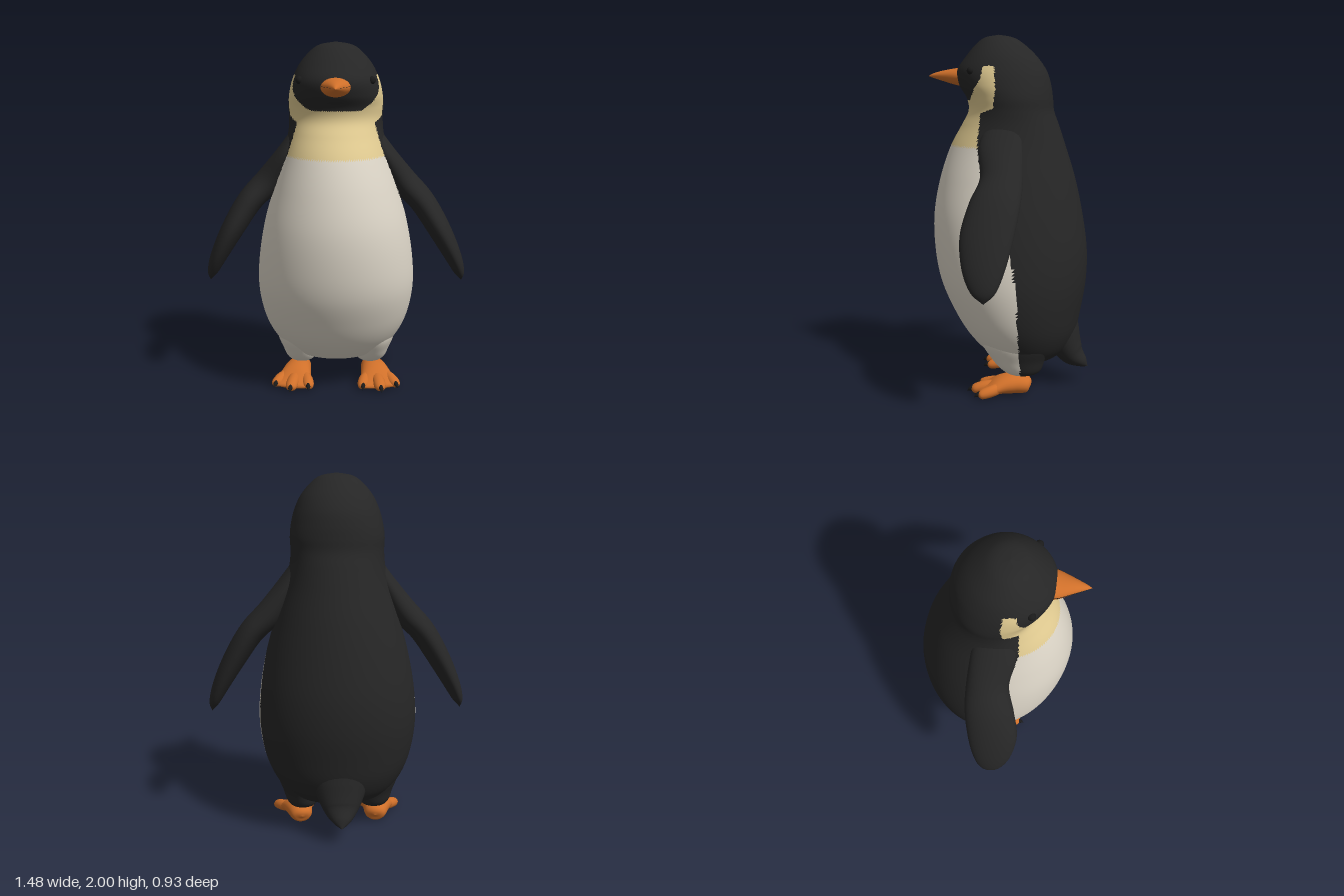
import * as THREE from 'three';

const mat = (name, color) => {
  const m = new THREE.MeshStandardMaterial({ color });
  m.name = name;
  return m;
};
const V = (x, y, z) => new THREE.Vector3(x, y, z);
const X = V(1, 0, 0), Z = V(0, 0, 1);

// Linear lookup in a short table of [key, value]
function lookup(table, k) {
  if (k <= table[0][0]) return table[0][1];
  for (let i = 1; i < table.length; i++) {
    const [k0, v0] = table[i - 1], [k1, v1] = table[i];
    if (k <= k1) return v0 + (v1 - v0) * (k - k0) / (k1 - k0);
  }
  return table[table.length - 1][1];
}

// Smooth loft through elliptical sections [cx, cy, cz, radiusU, radiusV].
// pick(x, y, z) chooses the material index of each face.
function loft(name, rows, u, fixedV, mats, { sides = 28, steps = 36, pick = () => 0 } = {}) {
  const spline = pts => new THREE.CatmullRomCurve3(pts, false, 'catmullrom', 0.5);
  const path = spline(rows.map(r => V(r[0], r[1], r[2])));
  const size = spline(rows.map(r => V(r[3], r[4], 0)));
  const pos = [], faces = mats.map(() => []);
  for (let i = 0; i <= steps; i++) {
    const t = i / steps, c = path.getPoint(t), s = size.getPoint(t);
    const v = fixedV || path.getTangent(t).cross(u).normalize();
    for (let j = 0; j < sides; j++) {
      const a = j / sides * Math.PI * 2;
      const p = c.clone()
        .addScaledVector(u, Math.max(s.x, 0) * Math.cos(a))
        .addScaledVector(v, Math.max(s.y, 0) * Math.sin(a));
      pos.push(p.x, p.y, p.z);
    }
  }
  const mid = (f, k) => (pos[f[0] * 3 + k] + pos[f[1] * 3 + k] + pos[f[2] * 3 + k]) / 3;
  for (let i = 0; i < steps; i++) for (let j = 0; j < sides; j++) {
    const k = (j + 1) % sides;
    const a = i * sides + j, b = i * sides + k, c = b + sides, d = a + sides;
    for (const f of [[a, b, c], [a, c, d]]) faces[pick(mid(f, 0), mid(f, 1), mid(f, 2))].push(...f);
  }
  const g = new THREE.BufferGeometry();
  g.setAttribute('position', new THREE.Float32BufferAttribute(pos, 3));
  g.setIndex(faces.flat());
  let start = 0;
  faces.forEach((f, i) => { g.addGroup(start, f.length, i); start += f.length; });
  g.computeVertexNormals();
  const mesh = new THREE.Mesh(g, mats.length > 1 ? mats : mats[0]);
  mesh.name = name;
  return mesh;
}

// Plumage borders: z of the back edge and of the face mask, by height
const backEdge = [[0.1, -0.1], [0.6, -0.1], [0.8, -0.07], [1, 0], [1.2, 0.1], [1.4, 0.14],
  [1.57, 0.13], [1.6, 0.055], [1.7, 0.04], [1.82, 0.05], [1.84, 0.12], [1.85, 0.5]];
const maskEdge = [[1.64, 0.2], [1.7, 0.165], [1.76, 0.125], [1.82, 0.115], [1.85, 0]];
function plumage(x, y, z) {
  if (z < lookup(backEdge, y)) return 0;
  if (y > 1.64 && z > lookup(maskEdge, y)) return 0;
  return y > 1.385 ? 2 : 1;
}

export function createModel() {
  const black = mat('black feathers', 0x262626);
  const white = mat('white feathers', 0xddd6c8);
  const cream = mat('cream feathers', 0xe2cc92);
  const orange = mat('orange skin', 0xd0702a);
  const dark = mat('dark claws', 0x1a1a1a);
  const coat = [black, white, cream];
  const model = new THREE.Group();
  model.name = 'penguin';

  // Head and body: [y, half width, front z, back z], from the crown down
  const body = [
    [2, 0, 0.06, 0.06], [1.985, 0.085, 0.135, -0.02], [1.95, 0.14, 0.185, -0.08],
    [1.88, 0.2, 0.245, -0.155], [1.8, 0.238, 0.295, -0.21], [1.72, 0.258, 0.28, -0.235],
    [1.65, 0.265, 0.238, -0.245], [1.58, 0.262, 0.23, -0.252], [1.5, 0.268, 0.27, -0.28],
    [1.38, 0.295, 0.335, -0.32], [1.2, 0.35, 0.395, -0.375], [1, 0.405, 0.43, -0.418],
    [0.8, 0.44, 0.425, -0.445], [0.62, 0.45, 0.39, -0.442], [0.45, 0.425, 0.315, -0.415],
    [0.32, 0.375, 0.235, -0.385], [0.22, 0.3, 0.14, -0.33], [0.165, 0.2, 0.06, -0.25],
    [0.14, 0, -0.08, -0.08],
  ].map(([y, w, f, b]) => [0, y, (f + b) / 2, w, (f - b) / 2]);
  model.add(loft('body', body, X, Z, coat, { sides: 144, steps: 180, pick: plumage }));

  // Tail
  model.add(loft('tail', [
    [0, 0.44, -0.3, 0.16, 0.09], [0, 0.3, -0.31, 0.15, 0.1], [0, 0.19, -0.36, 0.105, 0.075],
    [0, 0.13, -0.425, 0.05, 0.035], [0, 0.1, -0.46, 0, 0],
  ], X, null, [black]));

  // Beak with a dark seam between its halves
  model.add(loft('beak', [
    [0, 1.77, 0.24, 0.085, 0.06], [0, 1.77, 0.3, 0.075, 0.048], [0, 1.774, 0.37, 0.045, 0.032],
    [0, 1.775, 0.43, 0.018, 0.015], [0, 1.773, 0.465, 0, 0],
  ], X, null, [orange]));
  model.add(loft('beakSeam', [
    [0, 1.775, 0.25, 0.085, 0.003], [0, 1.775, 0.3, 0.077, 0.003], [0, 1.775, 0.37, 0.047, 0.002],
    [0, 1.775, 0.43, 0.019, 0.001], [0, 1.775, 0.45, 0, 0],
  ], X, null, [dark]));

  for (const s of [1, -1]) {
    const side = s > 0 ? 'left' : 'right';

    // Flipper
    model.add(loft(side + 'Flipper', [
      [0.19, 1.53, 0, 0.09, 0.04], [0.275, 1.39, 0.01, 0.12, 0.055], [0.38, 1.23, -0.01, 0.115, 0.075],
      [0.49, 1.11, 0.01, 0.135, 0.072], [0.585, 0.96, 0.035, 0.14, 0.065],
      [0.665, 0.81, 0.04, 0.112, 0.05], [0.712, 0.7, 0.035, 0.065, 0.03], [0.727, 0.643, 0.03, 0, 0],
    ].map(([x, ...r]) => [x * s, ...r]), Z, null, [black], { sides: 36, steps: 56 }));

    // Leg, white in front and black behind
    model.add(loft(side + 'Leg', [
      [0.19, 0.46, -0.07, 0.1, 0.15], [0.22, 0.32, -0.07, 0.13, 0.2], [0.213, 0.2, -0.08, 0.105, 0.15],
      [0.205, 0.125, -0.1, 0.078, 0.095], [0.205, 0.1, -0.1, 0, 0],
    ].map(([x, ...r]) => [x * s, ...r]), X, Z, coat, { sides: 48, pick: plumage }));

    // Foot with three toes and claws, turned slightly outwards
    const foot = new THREE.Group();
    foot.name = side + 'Foot';
    foot.add(loft('footPad', [
      [0, 0.05, -0.155, 0, 0], [0, 0.055, -0.135, 0.055, 0.045], [0, 0.062, -0.06, 0.075, 0.056],
      [0, 0.056, 0.01, 0.088, 0.05], [0, 0.036, 0.08, 0.105, 0.03], [0, 0.022, 0.13, 0.1, 0.016],
      [0, 0.02, 0.145, 0, 0],
    ], X, null, [orange]));
    for (const [tx, tz] of [[-0.095, 0.14], [0, 0.185], [0.095, 0.145]]) {
      foot.add(loft('toe', [
        [tx * 0.4, 0.055, 0, 0.03, 0.03], [tx * 0.8, 0.042, tz - 0.08, 0.036, 0.032],
        [tx, 0.028, tz - 0.02, 0.03, 0.025], [tx * 1.04, 0.022, tz, 0, 0],
      ], X, null, [orange], { sides: 16, steps: 18 }));
      foot.add(loft('claw', [
        [tx * 0.98, 0.038, tz - 0.03, 0.012, 0.018], [tx * 1.04, 0.03, tz, 0.012, 0.013],
        [tx * 1.1, 0.016, tz + 0.022, 0, 0],
      ], X, null, [dark], { sides: 12, steps: 10 }));
    }
    foot.position.set(0.235 * s, 0, 0);
    foot.rotation.y = 0.16 * s;
    model.add(foot);

    // Eye
    const eye = new THREE.Mesh(new THREE.SphereGeometry(0.022, 20, 14), dark);
    eye.name = side + 'Eye';
    eye.position.set(0.192 * s, 1.8, 0.185);
    model.add(eye);
  }
  return model;
}
